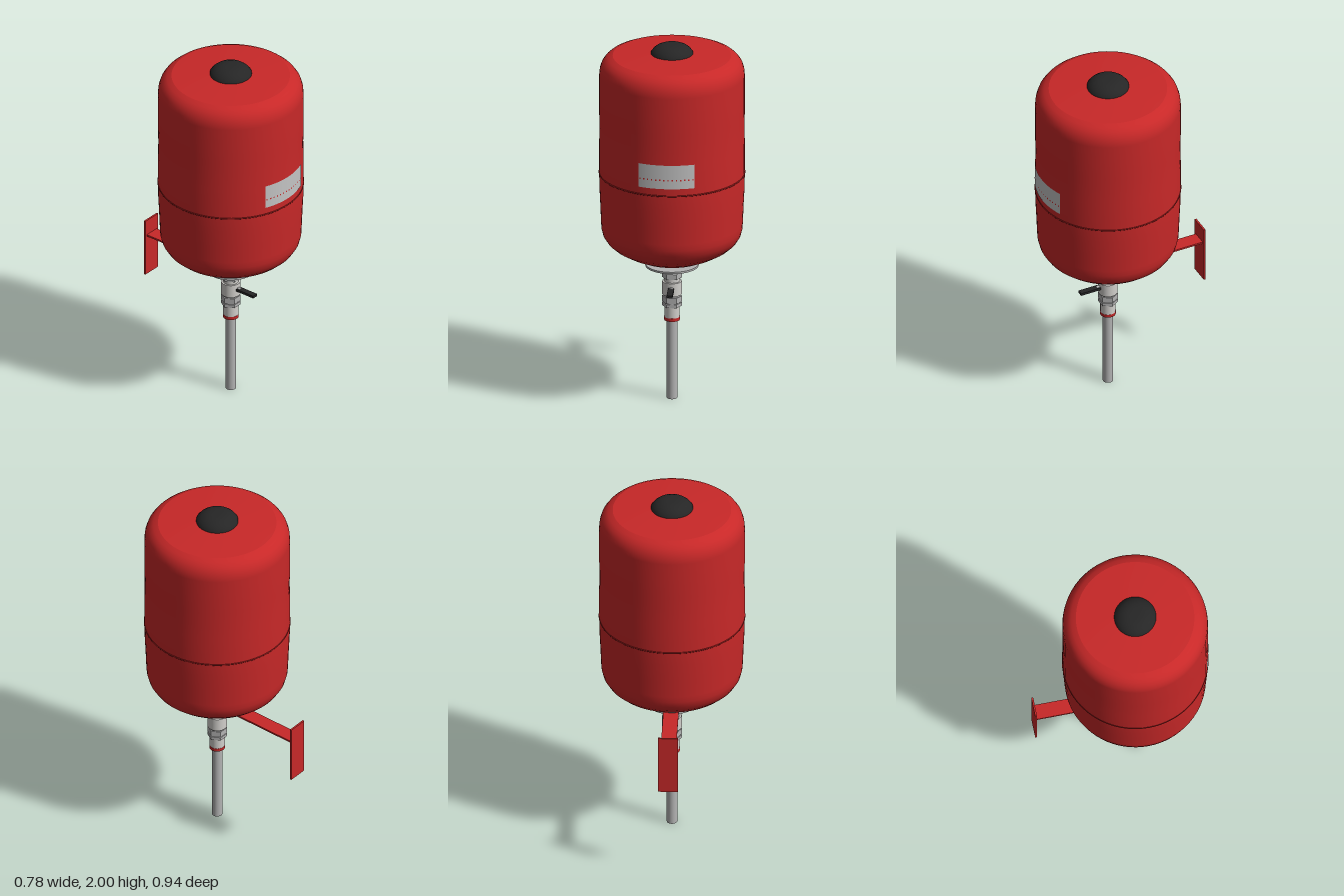
import * as THREE from 'three';

const mat = (name, color, side = THREE.FrontSide) => {
  const m = new THREE.MeshStandardMaterial({ color, side });
  m.name = name;
  return m;
};

export function createModel() {
  const model = new THREE.Group();
  model.name = 'expansionTank';
  const red = mat('red paint', 0xc82828, THREE.DoubleSide);
  const darkRed = mat('dark red seam', 0x8c1818);
  const black = mat('black plastic', 0x262626);
  const steel = mat('steel', 0xb4b4b4);
  const pale = mat('pale metal', 0xd2d0cc);
  const paper = mat('label grey', 0xc4c4c4, THREE.DoubleSide);

  // Everything but the wall bracket sits on the tank axis
  const axis = new THREE.Group();
  axis.name = 'tankAssembly';
  axis.position.z = 0.082;
  model.add(axis);

  const add = (parent, name, geometry, material, x = 0, y = 0, z = 0) => {
    const mesh = new THREE.Mesh(geometry, material);
    mesh.name = name;
    mesh.position.set(x, y, z);
    parent.add(mesh);
    return mesh;
  };
  const lathe = (name, pts, material) =>
    add(axis, name, new THREE.LatheGeometry(pts.map(p => new THREE.Vector2(...p)), 72), material);
  const ring = (name, r, y0, y1, material, sides = 40, rTop = r) => {
    const g = new THREE.CylinderGeometry(rTop, r, y1 - y0, sides);
    return add(axis, name, sides === 6 ? g.toNonIndexed() : g, material, 0, (y0 + y1) / 2);
  };

  // Tank shell, lid and cap
  lathe('tankShell', [
    [0, 0.765], [0.07, 0.767], [0.13, 0.783], [0.19, 0.803], [0.25, 0.83], [0.31, 0.865], [0.345, 0.896],
    [0.366, 0.93], [0.375, 0.965], [0.377, 1.0], [0.381, 1.1], [0.386, 1.2], [0.387, 1.28], [0.387, 1.45],
    [0.385, 1.53], [0.387, 1.62], [0.387, 1.83], [0.384, 1.86], [0.375, 1.888], [0.36, 1.91], [0.34, 1.927], [0.315, 1.938],
  ], red);
  lathe('topLid', [[0.315, 1.938], [0.11, 1.95], [0, 1.95]], red);
  lathe('topCap', [[0.112, 1.948], [0.111, 1.957], [0.1, 1.972], [0.083, 1.986], [0.06, 1.996], [0.035, 2.0], [0, 2.0]], black);
  add(axis, 'seam', new THREE.TorusGeometry(0.385, 0.005, 8, 96), darkRed, 0, 1.28).rotation.x = Math.PI / 2;

  // Curved label with a dashed line
  const strip = (name, r, half, mid, h, y, material) =>
    add(axis, name, new THREE.CylinderGeometry(r, r, h, half > 0.1 ? 24 : 1, 1, true, mid - half, half * 2), material, 0, y);
  strip('label', 0.3895, 0.394, 0, 0.133, 1.388, paper);
  for (let i = 0; i < 14; i++) {
    strip('labelDash', 0.391, 0.009, -0.37 + i * 0.74 / 13, 0.008, 1.371, red);
  }

  // Mounting flange and neck
  ring('upperCollar', 0.075, 0.761, 0.785, steel);
  ring('mountingFlange', 0.142, 0.75, 0.761, steel, 64);
  ring('flangeCollar', 0.06, 0.738, 0.75, pale);
  ring('neck', 0.035, 0.705, 0.74, steel);

  // Ball valve between two hexagon nuts
  const nut = (name, y0, y1) => {
    const m = ring(name, 0.053, y0, y1, steel, 6);
    m.geometry.computeVertexNormals();
    m.rotation.y = Math.PI / 6;
  };
  nut('upperNut', 0.682, 0.712);
  ring('valveShoulderTop', 0.042, 0.66, 0.684, pale);
  ring('valveBody', 0.052, 0.588, 0.662, pale);
  nut('middleNut', 0.545, 0.578);
  ring('valveShoulderBottom', 0.044, 0.57, 0.59, steel);
  ring('valveNeck', 0.042, 0.526, 0.547, steel);
  nut('lowerNut', 0.522, 0.54);
  ring('pipeSocket', 0.041, 0.46, 0.525, pale);
  ring('redSealRing', 0.042, 0.443, 0.461, red);
  ring('pipe', 0.028, 0, 0.445, steel);

  // Valve lever
  add(axis, 'leverHub', new THREE.CylinderGeometry(0.012, 0.012, 0.03, 16), steel, 0, 0.63, 0.055).rotation.x = Math.PI / 2;
  add(axis, 'valveLever', new THREE.BoxGeometry(0.032, 0.014, 0.12), black, 0, 0.63, 0.107);

  // Wall bracket
  add(model, 'bracketArm', new THREE.BoxGeometry(0.082, 0.01, 0.42), red, 0, 0.755, -0.255);
  add(model, 'wallPlate', new THREE.BoxGeometry(0.108, 0.33, 0.01), red, 0, 0.683, -0.465);
  return model;
}
